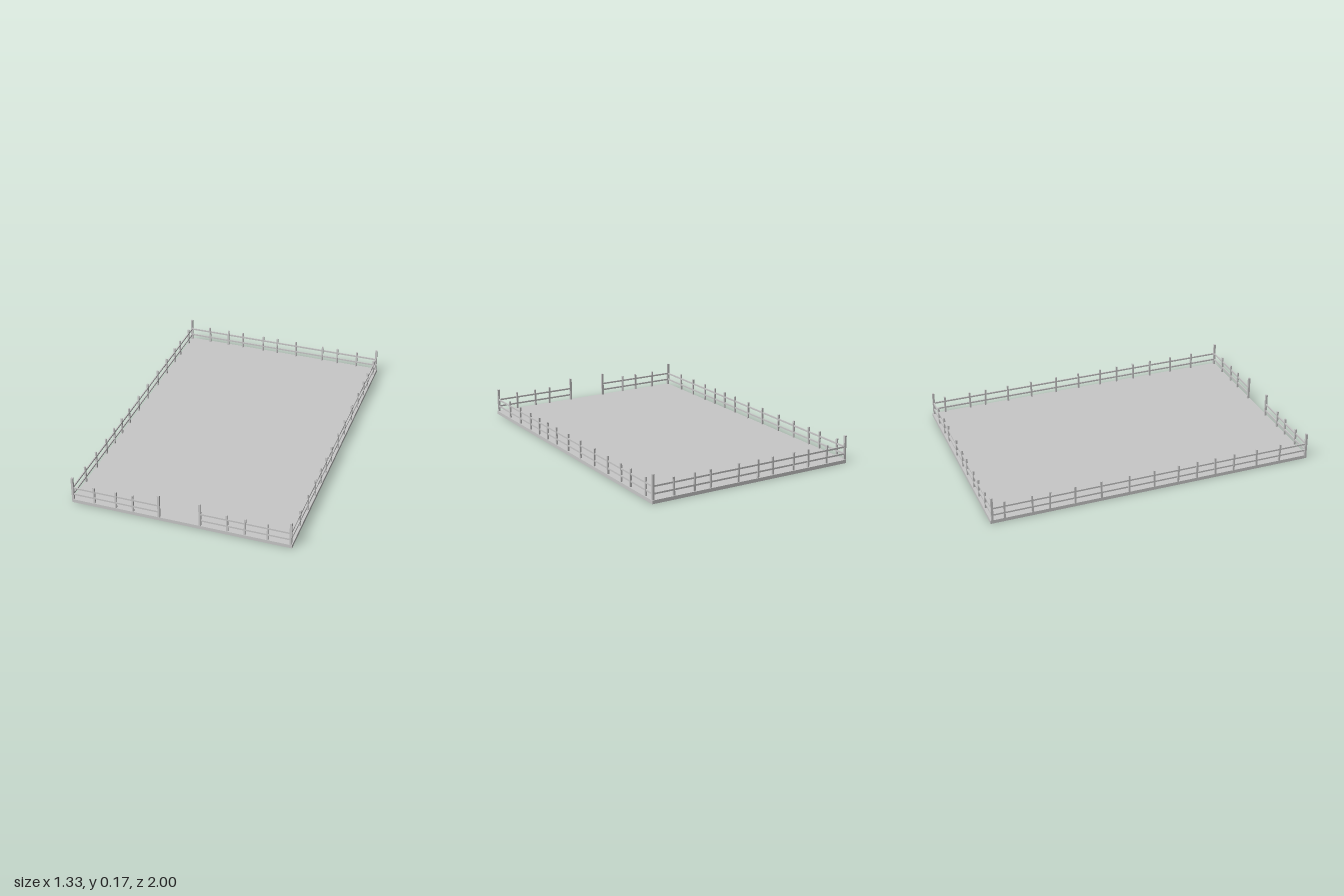
import * as THREE from 'three';

export function createModel() {
  const model = new THREE.Group();
  const grey = new THREE.MeshStandardMaterial({ color: 0xc8c8c8 });
  grey.name = 'light grey';

  const box = (name, w, h, d, x, y, z, parent = model) => {
    const mesh = new THREE.Mesh(new THREE.BoxGeometry(w, h, d), grey);
    mesh.name = name;
    mesh.position.set(x, y, z);
    parent.add(mesh);
    return mesh;
  };

  const FLOOR = 0.021;
  const L = 0.655, R = -0.66, F = 0.992, B = -0.988;

  // Ground slab
  box('floorSlab', 1.33, FLOOR, 2, 0, FLOOR / 2, 0);

  // Tall posts at the corners and on both sides of the entrance
  const tall = 0.167;
  for (const [name, x, z] of [
    ['cornerPost', L, F], ['cornerPost', R, F], ['cornerPost', L, B], ['cornerPost', R, B],
    ['gatePost', 0.121, F], ['gatePost', -0.127, F],
  ]) box(name, 0.013, tall - 0.01, 0.013, x, (tall + 0.01) / 2, z);

  // One run of fence: two rails and slightly crooked short posts
  function fence(name, alongX, fixed, from, to, spots) {
    const run = new THREE.Group();
    run.name = name;
    model.add(run);
    const len = to - from, mid = (from + to) / 2;
    for (const y of [0.055, 0.098]) {
      if (alongX) box('rail', len, 0.01, 0.007, mid, y, fixed, run);
      else box('rail', 0.007, 0.01, len, fixed, y, mid, run);
    }
    spots.forEach((s, i) => {
      const post = box('fencePost', 0.0105, 0.112, 0.0105,
        alongX ? s : fixed, 0.073, alongX ? fixed : s, run);
      const lean = [0.03, -0.025, 0.01, -0.035, 0][i % 5];
      if (alongX) post.rotation.z = lean;
      else post.rotation.x = lean;
    });
  }

  const frontRight = [-0.526, -0.391, -0.287];
  const frontLeft = [0.283, 0.388, 0.522];
  const back = [...frontRight, -0.139, -0.038, 0.096, ...frontLeft];
  const side = [0.815, 0.66, 0.51, 0.388, 0.27, 0.15, -0.003, -0.16, -0.333, -0.493, -0.645, -0.75, -0.915];

  fence('frontRightFence', true, F, R, -0.127, frontRight);
  fence('frontLeftFence', true, F, 0.121, L, frontLeft);
  fence('backFence', true, B, R, L, back);
  fence('leftFence', false, L, B, F, side);
  fence('rightFence', false, R, B, F, side);

  return model;
}
